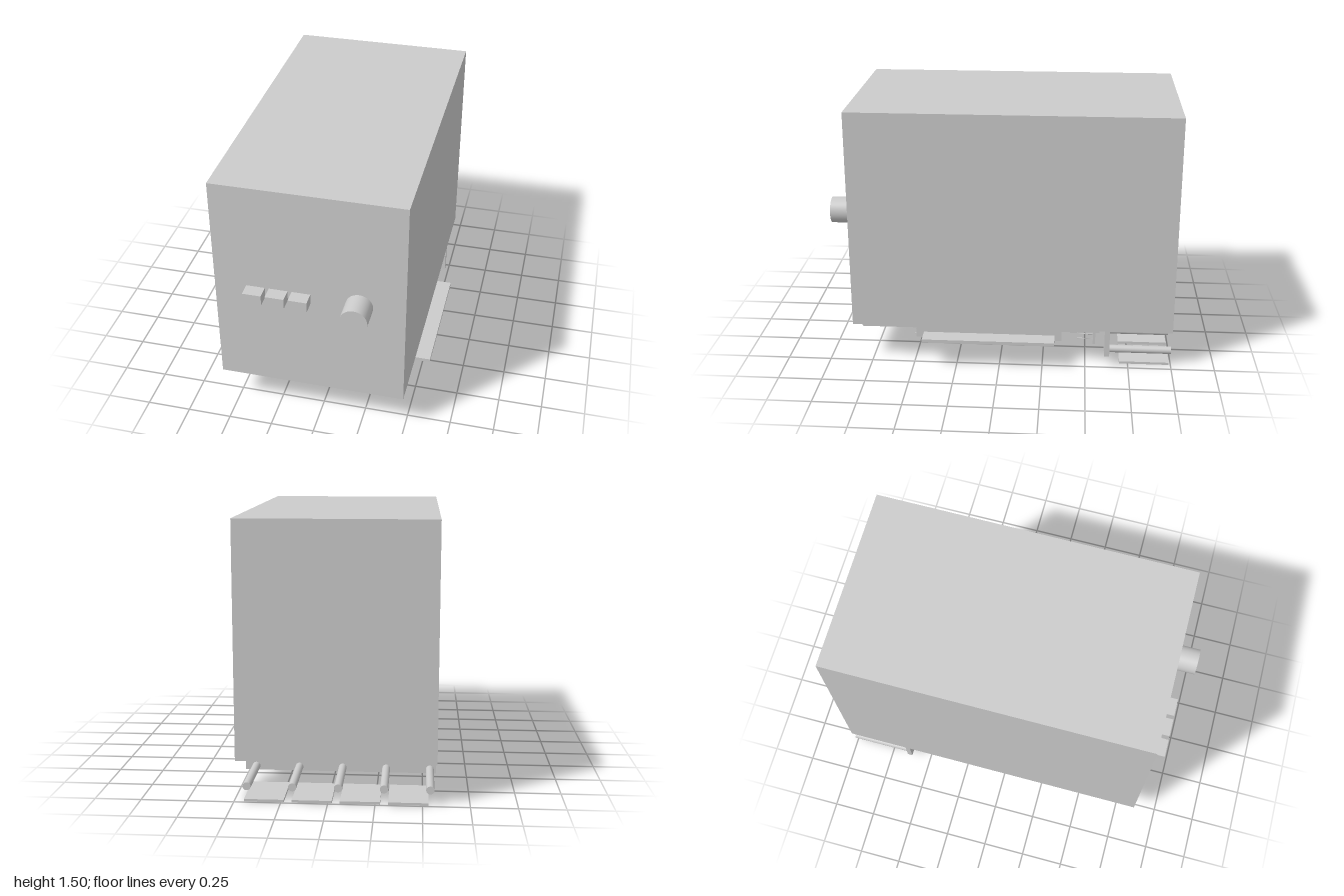
import * as THREE from 'three';

export function createModel() {
  const model = new THREE.Group();
  const mat = new THREE.MeshStandardMaterial({ color: 0xcccccc });

  // box given by its lower and upper limits on each axis
  function box(name, x0, x1, y0, y1, z0, z1) {
    const m = new THREE.Mesh(new THREE.BoxGeometry(x1 - x0, y1 - y0, z1 - z0), mat);
    m.position.set((x0 + x1) / 2, (y0 + y1) / 2, (z0 + z1) / 2);
    m.name = name;
    model.add(m);
  }
  // cylinder along z
  function rod(name, x, y, z0, z1, r, sides = 24) {
    const g = new THREE.CylinderGeometry(r, r, z1 - z0, sides);
    g.rotateX(Math.PI / 2);
    const m = new THREE.Mesh(g, mat);
    m.position.set(x, y, (z0 + z1) / 2);
    m.name = name;
    model.add(m);
  }

  // housing and front controls
  box('housing', -0.575, 0.49, 0.226, 1.503, -1, 0.86);
  for (let i = 0; i < 3; i++) {
    const x = -0.395 + i * 0.1275;
    box('button', x, x + 0.105, 0.815, 0.875, 0.86, 0.937);
  }
  rod('knob', 0.235, 0.845, 0.86, 1, 0.076, 48);

  // rear hanging panel with the rods it carries
  box('rearPanel', -0.575, 0.49, 0.065, 0.226, -0.64, -0.61);
  for (let i = 0; i < 5; i++) rod('rearRod', -0.54 + i * 0.2425, 0.088, -1, -0.64, 0.022);

  // ground plates below the rods
  for (let i = 0; i < 4; i++) {
    const x = -0.532 + i * 0.2555;
    box('groundPlate', x, x + 0.213, 0, 0.014, -0.99, -0.7);
  }

  // side rail with its flange
  box('sideRail', 0.455, 0.47, 0.146, 0.226, -0.36, 0.49);
  box('railFlange', 0.43, 0.57, 0.16, 0.18, -0.32, 0.445);

  // cross bars with forward pins and clips
  const lanes = [-0.37, -0.12, 0.125, 0.375];
  for (const z of [-0.55, -0.23, 0.09, 0.41]) {
    box('crossBar', -0.532, 0.447, 0.122, 0.217, z - 0.007, z + 0.007);
    for (let i = 0; i < 16; i++) rod('pin', -0.49 + i * 0.0597, 0.136, z, z + 0.1, 0.003, 6);
    for (const x of lanes) box('barClip', x - 0.037, x + 0.037, 0.185, 0.217, z - 0.025, z + 0.025);
  }

  // underside lanes: long strips, cross slats and a front bearing each
  for (const x of lanes) {
    for (const s of [-0.045, 0.045])
      box('laneStrip', x + s - 0.004, x + s + 0.004, 0.204, 0.216, -0.58, 0.8);
    box('lanePlate', x - 0.12, x + 0.114, 0.216, 0.226, -0.58, 0.8);
    for (let z = -0.45; z < 0.4; z += 0.32)
      for (const dx of [-0.09, -0.03, 0.03, 0.09])
        box('laneSlat', x + dx - 0.02, x + dx + 0.02, 0.208, 0.216, z, z + 0.04);
    box('frontBearing', x - 0.037, x + 0.037, 0.186, 0.216, 0.585, 0.635);
    box('bearingFoot', x - 0.018, x + 0.018, 0.179, 0.187, 0.595, 0.625);
  }
  return model;
}
